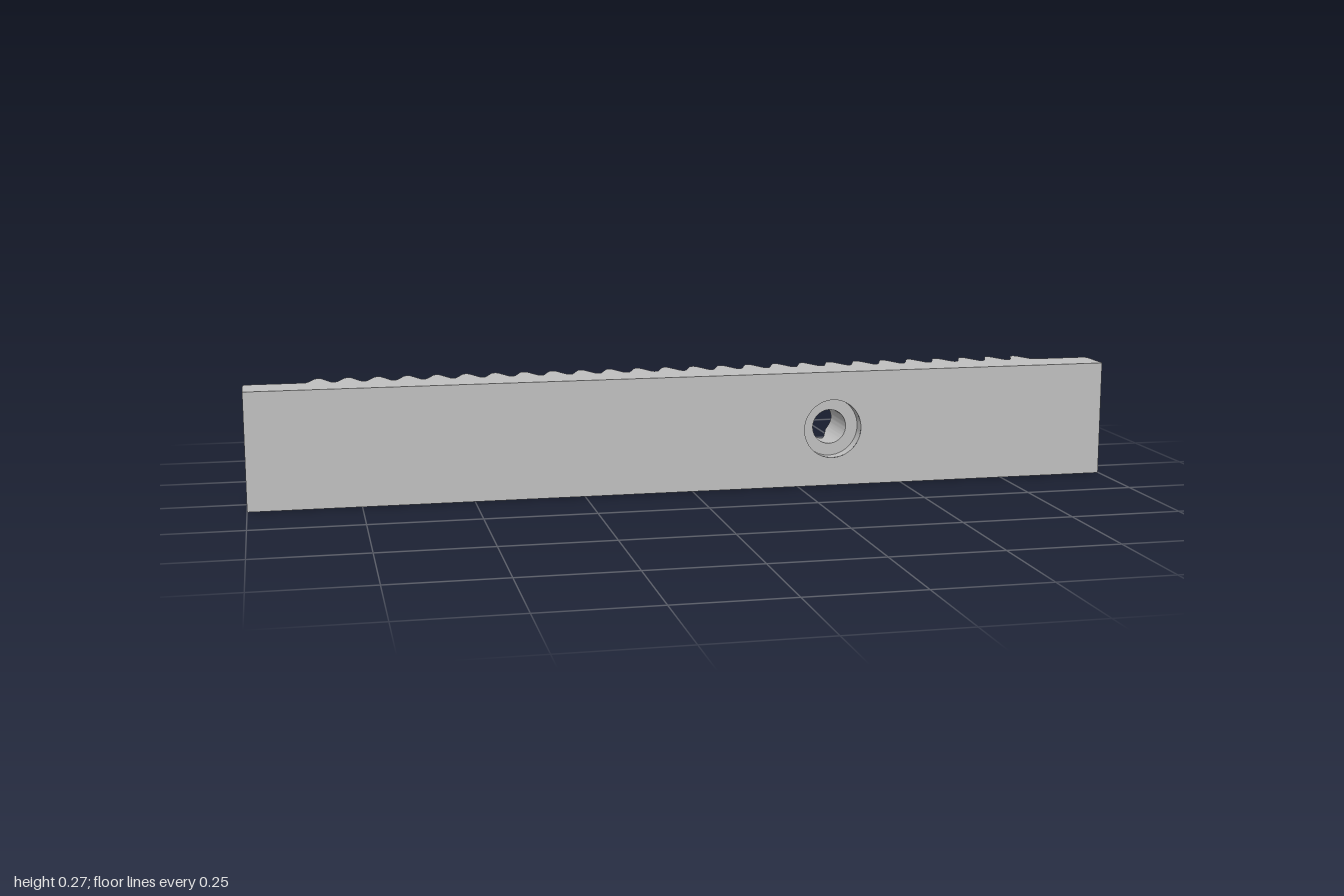
import * as THREE from 'three';
import { toCreasedNormals } from 'three/addons/utils/BufferGeometryUtils.js';

const H = 0.267, FRONT = 0.0775, BACK = -0.02; // bar height, front face, back face
const TEETH = 26, PITCH = 2 / 30;
const CX = 1 / 3, CY = H / 2, BORE = 0.04, SINK = 0.068, FLOOR = 0.047; // screw hole

// Arc of a rounded vertical corner, in (x, z)
function corner(x, z, r, from, to, n = 5) {
  return Array.from({ length: n + 1 }, (_, i) => {
    const a = from + (to - from) * i / n;
    return [x + r * Math.cos(a), z + r * Math.sin(a)];
  });
}

// Outline from front left, round the back, to front right
function outline() {
  const half = [[0.030, -0.021], [0.026, -0.025], [0.009, -0.069], [0.007, -0.0735], [0.004, -0.0765]];
  const tooth = [...half.map(([x, z]) => [-x, z]), [0, -0.0775], ...half.slice().reverse()];
  const rf = 0.004, rb = 0.01, P = Math.PI;
  const pts = [
    ...corner(-1 + rf, FRONT - rf, rf, P / 2, P),
    ...corner(-1 + rb, BACK + rb, rb, P, P * 1.5),
  ];
  for (let i = 0; i < TEETH; i++) {
    const c = (i - (TEETH - 1) / 2) * PITCH;
    if (i === 0) pts.push([c - 0.032, BACK]);
    tooth.forEach(([x, z]) => pts.push([c + x, z]));
    if (i === TEETH - 1) pts.push([c + 0.032, BACK]);
  }
  pts.push(...corner(1 - rb, BACK + rb, rb, P * 1.5, P * 2));
  pts.push(...corner(1 - rf, FRONT - rf, rf, 0, P / 2));
  return pts;
}

// Add points on the toothed side where the bore cuts through it
function withBoreColumns(pts) {
  const xs = Array.from({ length: 25 }, (_, i) => CX - BORE * Math.cos(Math.PI * i / 24));
  const out = [];
  pts.forEach((p, i) => {
    out.push(p);
    const q = pts[i + 1];
    if (!q) return;
    for (const x of xs) {
      if (x > p[0] + 1e-6 && x < q[0] - 1e-6) {
        const t = (x - p[0]) / (q[0] - p[0]);
        out.push([x, p[1] + t * (q[1] - p[1])]);
      }
    }
  });
  return out;
}

// Side walls, teeth and the bore wall, one column at a time
function wallGeometries(pts) {
  const walls = [], bore = [];
  const quad = (list, a, b, c, d) => list.push(...a, ...b, ...c, ...a, ...c, ...d);
  const chord = (x) => Math.sqrt(Math.max(0, BORE * BORE - (x - CX) ** 2));
  for (let i = 0; i < pts.length - 1; i++) {
    const [px, pz] = pts[i], [qx, qz] = pts[i + 1];
    const strip = (p0, p1, q0, q1) =>
      quad(walls, [px, p0, pz], [px, p1, pz], [qx, q1, qz], [qx, q0, qz]);
    if (Math.abs((px + qx) / 2 - CX) > BORE) {
      strip(0, H, 0, H);
      continue;
    }
    const hp = chord(px), hq = chord(qx);
    strip(0, CY - hp, 0, CY - hq);
    strip(CY + hp, H, CY + hq, H);
    quad(bore, [px, CY - hp, pz], [px, CY - hp, FLOOR], [qx, CY - hq, FLOOR], [qx, CY - hq, qz]);
    quad(bore, [px, CY + hp, pz], [qx, CY + hq, qz], [qx, CY + hq, FLOOR], [px, CY + hp, FLOOR]);
  }
  return [walls, bore].map((list) => {
    const g = new THREE.BufferGeometry();
    g.setAttribute('position', new THREE.Float32BufferAttribute(list, 3));
    g.computeVertexNormals();
    return toCreasedNormals(g, 0.5);
  });
}

export function createModel() {
  const group = new THREE.Group();
  group.name = 'gearRack';
  const steel = new THREE.MeshStandardMaterial({ color: 0xc0c0c0 });
  steel.name = 'steel grey';
  const add = (name, geometry) => {
    const mesh = new THREE.Mesh(geometry, steel);
    mesh.name = name;
    group.add(mesh);
    return mesh;
  };

  const pts = withBoreColumns(outline());
  const [walls, bore] = wallGeometries(pts);
  add('teethAndEnds', walls);
  add('boreWall', bore);

  // Top and bottom faces follow the toothed outline
  const cap = (s) => new THREE.ShapeGeometry(
    new THREE.Shape(pts.map(([x, z]) => new THREE.Vector2(x, s * z)))).rotateX(s * Math.PI / 2);
  add('topFace', cap(-1)).position.y = H;
  add('bottomFace', cap(1));

  // Front face with the opening of the counterbore
  const w = 1 - 0.004;
  const face = new THREE.Shape([[-w, 0], [w, 0], [w, H], [-w, H]].map(([x, y]) => new THREE.Vector2(x, y)));
  face.holes.push(new THREE.Path().absarc(CX, CY, SINK, 0, Math.PI * 2, true));
  add('frontFace', new THREE.ShapeGeometry(face, 48)).position.z = FRONT;

  // Counterbore wall and its flat seat
  const seat = new THREE.LatheGeometry(
    [[SINK, FRONT], [SINK, FLOOR], [BORE, FLOOR]].map(([r, z]) => new THREE.Vector2(r, z)), 48);
  add('counterbore', toCreasedNormals(seat.rotateX(Math.PI / 2), 0.5)).position.set(CX, CY, 0);

  return group;
}
